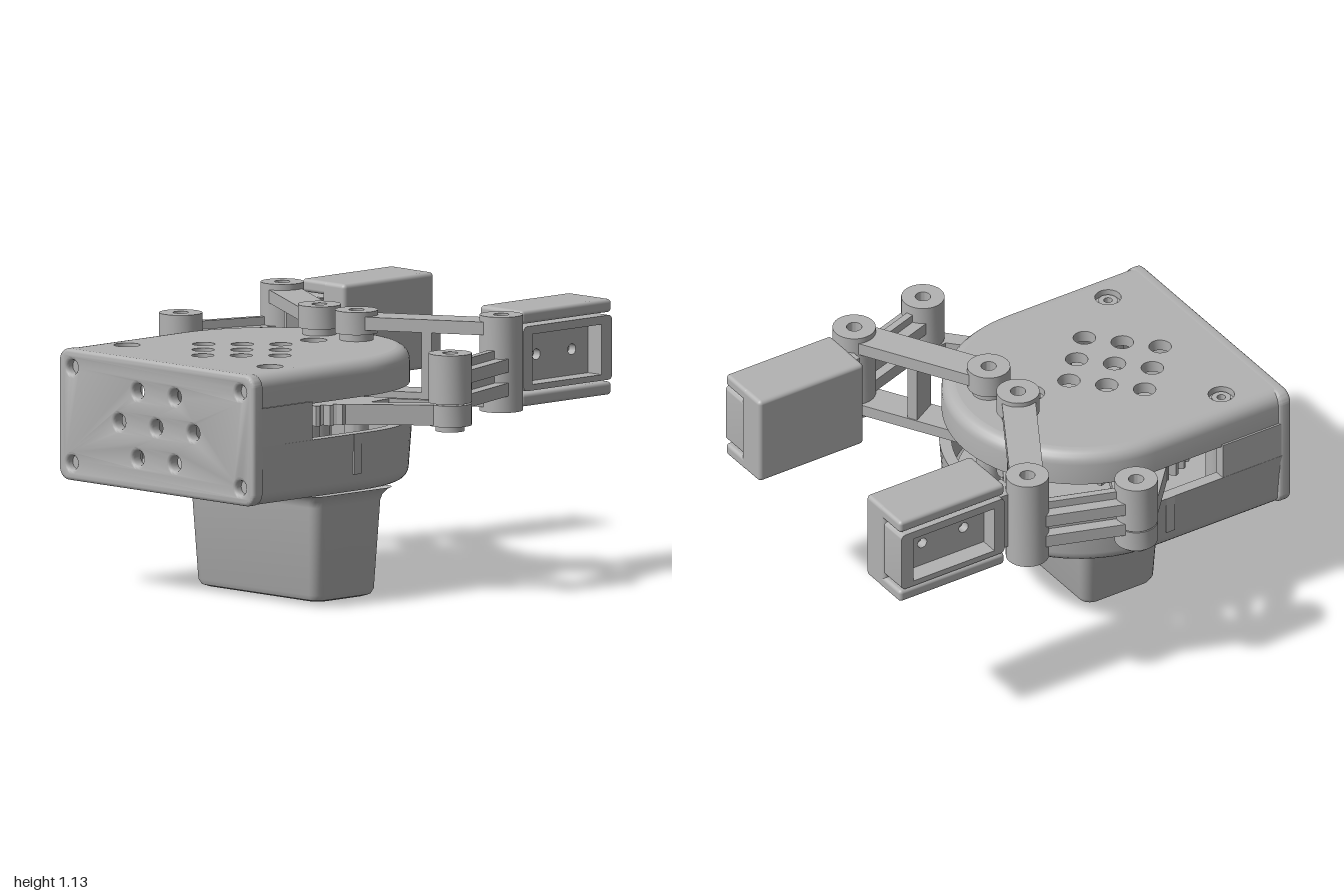
import * as THREE from 'three';
import { toCreasedNormals } from 'three/addons/utils/BufferGeometryUtils.js';
import { RoundedBoxGeometry } from 'three/addons/geometries/RoundedBoxGeometry.js';

const grey = new THREE.MeshStandardMaterial({ color: 0xb2b2b2, side: THREE.DoubleSide });
grey.name = 'plain grey';

function add(parent, name, geo, x = 0, y = 0, z = 0) {
  const m = new THREE.Mesh(geo, grey);
  m.name = name;
  m.position.set(x, y, z);
  parent.add(m);
  return m;
}

// shape given by [x, z] points, raised from y0 to y1; holes are circles [x, z, r]
function slab(parent, name, pts, y0, y1, circles = [], cutouts = []) {
  const shape = new THREE.Shape(pts.map(([x, z]) => new THREE.Vector2(x, -z)));
  for (const [x, z, r] of circles) shape.holes.push(new THREE.Path().absarc(x, -z, r, 0, Math.PI * 2));
  for (const c of cutouts) shape.holes.push(new THREE.Path(c.map(([x, z]) => new THREE.Vector2(x, -z))));
  const g = new THREE.ExtrudeGeometry(shape, { depth: y1 - y0, bevelEnabled: false, curveSegments: 10 });
  g.rotateX(-Math.PI / 2);
  return add(parent, name, toCreasedNormals(g, 0.6), 0, y0, 0);
}

function box(parent, name, x0, x1, y0, y1, z0, z1, r = 0) {
  const s = [x1 - x0, y1 - y0, Math.abs(z1 - z0)];
  const g = r ? new RoundedBoxGeometry(...s, 3, r) : new THREE.BoxGeometry(...s);
  return add(parent, name, g, (x0 + x1) / 2, (y0 + y1) / 2, (z0 + z1) / 2);
}

// hollow pivot barrel
function barrel(parent, name, x, z, r, y0, y1, hole = 0.032) {
  const p = [[hole, y0], [r, y0], [r, y1], [hole, y1], [hole, y0]].map(a => new THREE.Vector2(...a));
  return add(parent, name, toCreasedNormals(new THREE.LatheGeometry(p, 28), 0.6), x, 0, z);
}

// straight bar between two [x, z] points
function bar(parent, name, p, q, w, y0, y1) {
  const dx = q[0] - p[0], dz = q[1] - p[1];
  const m = add(parent, name, new THREE.BoxGeometry(Math.hypot(dx, dz), y1 - y0, w),
    (p[0] + q[0]) / 2, (y0 + y1) / 2, (p[1] + q[1]) / 2);
  m.rotation.y = -Math.atan2(dz, dx);
  return m;
}

// skin through rings of [x, y, z] points
function loft(rings, closed) {
  const n = rings[0].length, idx = [];
  for (let i = 0; i < rings.length - 1; i++)
    for (let j = 0; j < (closed ? n : n - 1); j++) {
      const a = i * n + j, b = i * n + (j + 1) % n;
      idx.push(a, a + n, b, b, a + n, b + n);
    }
  const g = new THREE.BufferGeometry();
  g.setAttribute('position', new THREE.Float32BufferAttribute(rings.flat(2), 3));
  g.setIndex(idx);
  return toCreasedNormals(g, 0.6);
}

// D-shaped housing outline, open at the back
function outline(inset) {
  const r = 0.58 - inset, pts = [[-0.96, -r]];
  for (let i = 0; i <= 40; i++) {
    const a = -Math.PI / 2 + Math.PI * i / 40;
    pts.push([-0.33 + r * Math.cos(a), r * Math.sin(a)]);
  }
  return [...pts, [-0.96, r]];
}
const shellRings = profile => profile.map(([inset, y]) => outline(inset).map(([x, z]) => [x, y, z]));

// quarter-round [inset, y] steps from a wall to a flat face
const round = (i0, y0, r, dir) => [0, 1, 2, 3, 4, 5].map(k => {
  const a = k / 5 * Math.PI / 2;
  return [i0 + r * (1 - Math.cos(a)), y0 + dir * r * Math.sin(a)];
});

function roundRing(cx, cz, hx, hz, r, y) {
  const pts = [];
  for (let c = 0; c < 4; c++)
    for (let k = 0; k <= 5; k++) {
      const a = (c + k / 5) * Math.PI / 2;
      const sx = c === 0 || c === 3 ? 1 : -1, sz = c < 2 ? 1 : -1;
      pts.push([cx + sx * (hx - r) + r * Math.cos(a), y, cz + sz * (hz - r) + r * Math.sin(a)]);
    }
  return pts;
}

function roundedShape(x0, x1, y0, y1, r) {
  const s = new THREE.Shape();
  s.absarc(x1 - r, y1 - r, r, 0, Math.PI / 2);
  s.absarc(x0 + r, y1 - r, r, Math.PI / 2, Math.PI);
  s.absarc(x0 + r, y0 + r, r, Math.PI, Math.PI * 1.5);
  s.absarc(x1 - r, y0 + r, r, Math.PI * 1.5, Math.PI * 2);
  return s;
}

function buildHousing() {
  const g = new THREE.Group();
  g.name = 'housing';
  g.position.z = -0.01;
  // lower tray
  add(g, 'lowerShell', loft(shellRings([[0.05, 0.49], [0.05, 0.7], [0, 0.7], ...round(0.015, 0.5, 0.05, -1)])));
  slab(g, 'floor', outline(0.065), 0.45, 0.5);
  // upper cover with vents and screw holes
  add(g, 'upperShell', loft(shellRings([[0.06, 0.96], [0.06, 0.85], [0.01, 0.85], ...round(0.01, 0.945, 0.055, 1)])));
  const screws = [[-0.75, -0.43], [-0.75, 0.42], [-0.1, 0.01]];
  const vents = [];
  for (let i = -1; i <= 1; i++)
    for (let j = -1; j <= 1; j++) vents.push([-0.505 + 0.113 * (i + j), 0.113 * (i - j), 0.047]);
  slab(g, 'lid', outline(0.065), 0.95, 1, [...vents, ...screws.map(([x, z]) => [x, z, 0.055])]);
  for (const [x, z] of screws) {
    barrel(g, 'screwPost', x, z, 0.065, 0.5, 0.97, 0.03);
    barrel(g, 'screwHead', x, z, 0.04, 0.95, 0.985, 0.018);
  }
  // side walls behind the arm openings
  for (const s of [-1, 1]) {
    box(g, 'sideWall', -0.96, -0.66, 0.69, 0.86, s * 0.53, s * 0.579);
    box(g, 'sideSlot', -0.42, -0.38, 0.53, 0.7, s * 0.572, s * 0.581);
  }
  // perforated back plate
  const plate = roundedShape(-0.565, 0.565, 0.465, 0.985, 0.04);
  const hole = (z, y, r) => plate.holes.push(new THREE.Path().absarc(z, y, r, 0, Math.PI * 2));
  hole(0, 0.725, 0.047);
  for (const s of [-1, 1]) {
    hole(s * 0.22, 0.725, 0.047);
    for (const t of [-1, 1]) {
      hole(s * 0.11, 0.725 + t * 0.14, 0.047);
      hole(s * 0.5, 0.725 + t * 0.2, 0.045);
      const head = add(g, 'backScrew', new THREE.CylinderGeometry(0.045, 0.045, 0.02, 20), -0.955, 0.725 + t * 0.2, s * 0.5);
      head.rotation.z = Math.PI / 2;
    }
  }
  const pg = new THREE.ExtrudeGeometry(plate, { depth: 0.03, bevelThickness: 0.015, bevelSize: 0.015, bevelOffset: 0, bevelSegments: 3, curveSegments: 10 });
  pg.rotateY(-Math.PI / 2);
  add(g, 'backPlate', toCreasedNormals(pg, 0.6), -0.955, 0, 0);
  return g;
}

// tapered foot below the housing
function buildFoot() {
  const foot = [[0, 0], [0.148, 0], [0.168, 0.008], [0.178, 0.03], [0.197, 0.4], [0.203, 0.425], [0.217, 0.445], [0.23, 0.455]];
  const rings = foot.map(([h, y]) => h ? roundRing(-0.4, 0.145, h, h + 0.19, 0.05, y)
    : roundRing(-0.4, 0.145, 0, 0, 0, y));
  return loft(rings, true);
}

function buildFinger(s) {
  const g = new THREE.Group();
  g.name = s > 0 ? 'frontFinger' : 'backFinger';
  const gear = [-0.4, s * 0.26], elbow = [-0.09, s * 0.8], base = [0.04, s * 0.11], wrist = [0.35, s * 0.65];

  // toothed drive gear and its tapered arm
  const teeth = [];
  for (let i = 0; i < 28; i++)
    for (const [o, r] of [[0, 0.235], [0.25, 0.235], [0.4, 0.265], [0.7, 0.265]]) {
      const a = (i + o) / 28 * Math.PI * 2;
      teeth.push([gear[0] + r * Math.cos(a), gear[1] + r * Math.sin(a)]);
    }
  slab(g, 'driveGear', teeth, 0.735, 0.82, [[...gear, 0.04]]);
  const flip = p => p.map(([x, z]) => [x, z * s]);
  slab(g, 'driveArm', flip([[-0.63, 0.3], [-0.165, 0.81], [-0.12, 0.75], [-0.03, 0.74], [-0.21, 0.42]]), 0.735, 0.82, [],
    [flip([[-0.31, 0.55], [-0.15, 0.72], [-0.08, 0.71], [-0.18, 0.53]])]);
  barrel(g, 'gearAxle', ...gear, 0.06, 0.5, 0.96);

  // elbow and outer link
  barrel(g, 'elbowLower', ...elbow, 0.09, 0.73, 0.82);
  barrel(g, 'elbowUpper', ...elbow, 0.09, 0.825, 1.03);
  barrel(g, 'elbowPin', ...elbow, 0.06, 0.705, 0.73);
  const dir = [0.44 / 0.465, -s * 0.15 / 0.465];
  const along = (p, d) => [p[0] + dir[0] * d, p[1] + dir[1] * d];
  const l0 = along(elbow, 0.06), l1 = along(wrist, -0.06);
  bar(g, 'outerLinkUpper', l0, l1, 0.13, 0.9, 0.955);
  bar(g, 'outerLinkLower', l0, l1, 0.13, 0.8, 0.855);
  bar(g, 'outerLinkWeb', l0, l1, 0.03, 0.8, 0.99);

  // wrist barrel and paired inner arms
  barrel(g, 'wristBarrel', ...wrist, 0.09, 0.73, 1.13);
  const mix = t => [base[0] + (wrist[0] - base[0]) * t, base[1] + (wrist[1] - base[1]) * t];
  for (const [y0, y1] of [[1.03, 1.125], [0.73, 0.82]]) {
    barrel(g, 'basePivot', ...base, 0.09, y0, y1);
    bar(g, 'innerArm', mix(0.08), mix(0.92), 0.14, y0 + 0.02, y1 - 0.02);
  }
  barrel(g, 'basePin', ...base, 0.07, 0.99, 1.03);
  barrel(g, 'lowerBasePin', ...base, 0.05, 0.5, 0.73);
  bar(g, 'innerArmWeb', mix(0.48), mix(0.55), 0.13, 0.79, 1.06);

  // grip pad with flanges
  box(g, 'gripPad', 0.465, 0.985, 0.73, 1.13, s * 0.4, s * 0.535, 0.018);
  for (const y of [0.73, 1.075]) box(g, 'padFlange', 0.465, 0.985, y, y + 0.055, s * 0.5, s * 0.655, 0.016);

  // recessed holder between the flanges
  const frame = roundedShape(0.47, 0.98, 0.795, 1.065, 0.02);
  frame.holes.push(new THREE.Path([[0.52, 0.82], [0.92, 0.82], [0.92, 1.03], [0.52, 1.03]].map(p => new THREE.Vector2(...p))));
  const fg = new THREE.ExtrudeGeometry(frame, { depth: 0.13, bevelEnabled: false, curveSegments: 4 });
  add(g, 'holderFrame', toCreasedNormals(fg, 0.6), 0, 0, s > 0 ? 0.53 : -0.66);
  const floor = roundedShape(0.5, 0.94, 0.81, 1.05, 0.01);
  for (const x of [0.62, 0.825]) floor.holes.push(new THREE.Path().absarc(x, 0.928, 0.023, 0, Math.PI * 2));
  const rg = new THREE.ExtrudeGeometry(floor, { depth: 0.04, bevelEnabled: false, curveSegments: 8 });
  add(g, 'holderFloor', toCreasedNormals(rg, 0.6), 0, 0, s > 0 ? 0.54 : -0.58);
  box(g, 'holderNeck', 0.4, 0.49, 0.8, 1.06, s * 0.53, s * 0.64);
  return g;
}

export function createModel() {
  const model = new THREE.Group();
  model.name = 'gripper';
  model.add(buildHousing());
  add(model, 'foot', buildFoot());
  for (const s of [1, -1]) model.add(buildFinger(s));
  return model;
}
